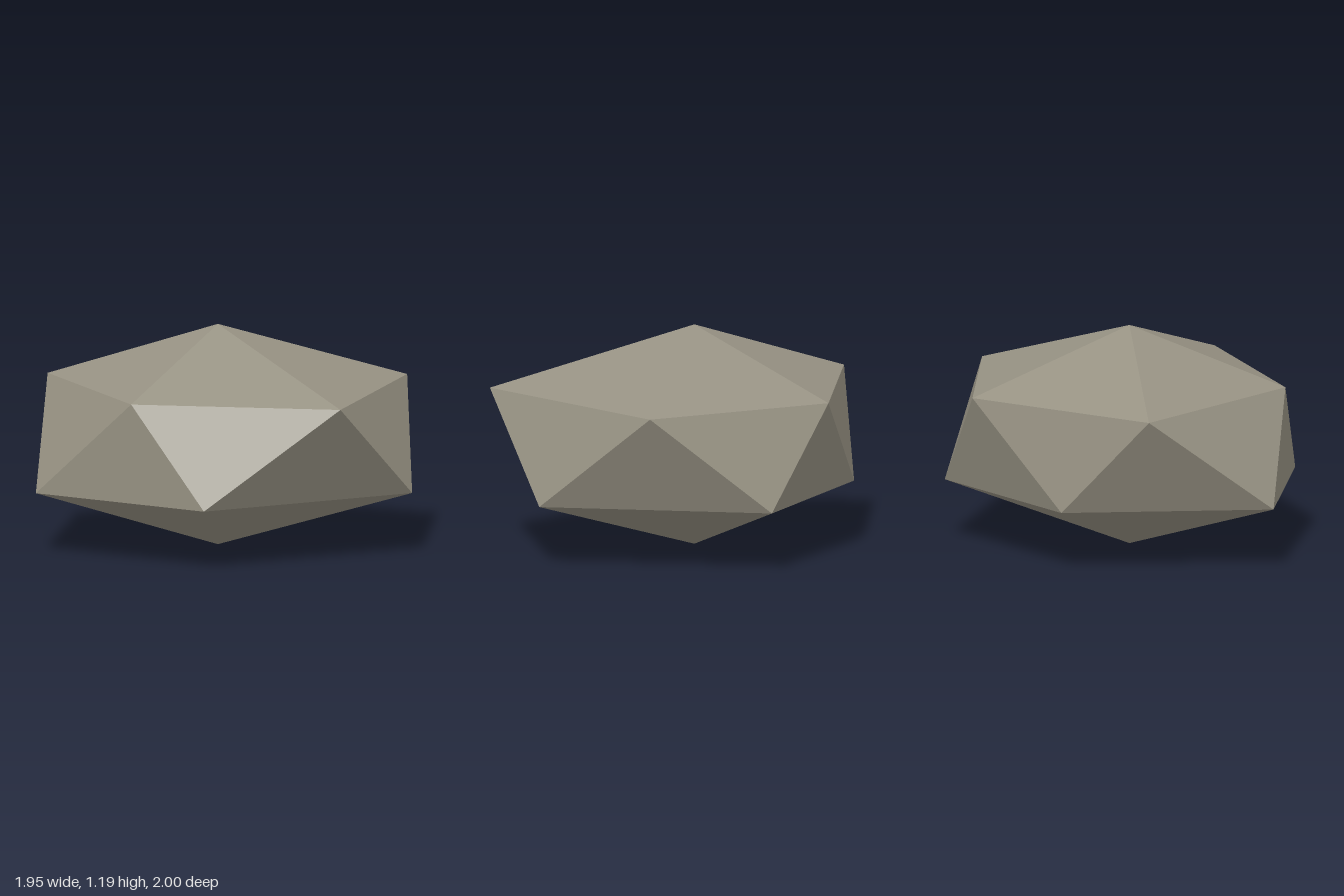
import * as THREE from 'three';

// Low-poly boulder: a squashed, irregular twenty-sided solid
export function createModel() {
  const group = new THREE.Group();
  group.name = 'boulder';

  const stone = new THREE.MeshStandardMaterial({ color: 0x979283, flatShading: true });
  stone.name = 'stone grey';

  // Two staggered rings of [x, z] corners, counter-clockwise from above
  const upper = [[0.97, 0.01], [0.2, -1], [-0.79, -0.6], [-0.97, 0.52], [0.16, 0.8]]
    .map(([x, z]) => [x, 0.865, z]);
  const lower = [[0.76, -0.62], [-0.46, -0.915], [-0.98, 0.01], [-0.425, 1], [0.61, 0.65]]
    .map(([x, z]) => [x, 0.33, z]);
  const top = [-0.125, 1.19, 0.015];
  const bottom = [-0.125, 0, 0.015];

  // Cap, zigzag band and base, one slice per ring corner
  const corners = [];
  for (let i = 0; i < 5; i++) {
    const j = (i + 1) % 5;
    corners.push(
      top, upper[i], upper[j],
      upper[i], lower[i], upper[j],
      lower[i], lower[j], upper[j],
      bottom, lower[j], lower[i],
    );
  }

  const geometry = new THREE.BufferGeometry();
  geometry.setAttribute('position', new THREE.Float32BufferAttribute(corners.flat(), 3));
  geometry.computeVertexNormals();

  const rock = new THREE.Mesh(geometry, stone);
  rock.name = 'rock';
  group.add(rock);
  return group;
}
